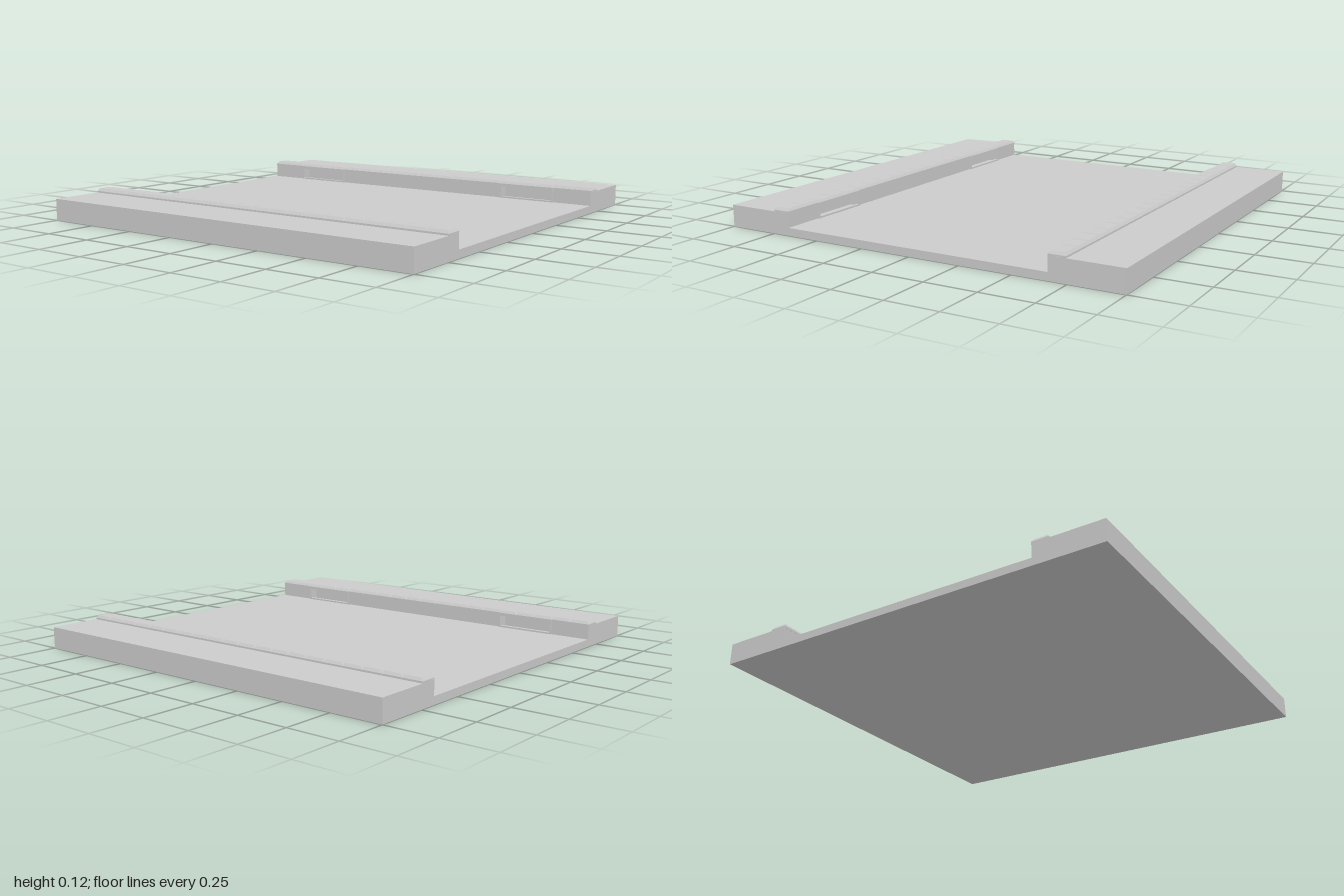
import * as THREE from 'three';

const material = new THREE.MeshStandardMaterial({ color: 0xcccccc, flatShading: true });

function add(parent, name, geometry, x = 0, y = 0, z = 0) {
  const mesh = new THREE.Mesh(geometry, material);
  mesh.name = name;
  mesh.position.set(x, y, z);
  parent.add(mesh);
  return mesh;
}

// Box given by its limits on each axis
function span(parent, name, x0, x1, y0, y1, z0, z1) {
  return add(parent, name, new THREE.BoxGeometry(x1 - x0, y1 - y0, z1 - z0),
    (x0 + x1) / 2, (y0 + y1) / 2, (z0 + z1) / 2);
}

// Kerb stone: box whose top face is drawn in to make bevelled edges
function stoneGeometry(width, height, depth, bevel) {
  const geometry = new THREE.BoxGeometry(width, height, depth, 1, 2, 1);
  const p = geometry.attributes.position;
  for (let i = 0; i < p.count; i++) {
    if (p.getY(i) > height * 0.4) {
      p.setX(i, p.getX(i) - Math.sign(p.getX(i)) * bevel);
      p.setZ(i, p.getZ(i) - Math.sign(p.getZ(i)) * bevel);
    } else if (p.getY(i) > -height * 0.4) {
      p.setY(i, height / 2 - 0.013);
    }
  }
  geometry.computeVertexNormals();
  return geometry;
}

// Rectangular rim around a drain opening
function drainFrameGeometry(width, bottom, top, rim, depth) {
  const rect = (Type, x, y0, y1) => new Type([
    new THREE.Vector2(-x, y0), new THREE.Vector2(x, y0),
    new THREE.Vector2(x, y1), new THREE.Vector2(-x, y1)]);
  const shape = rect(THREE.Shape, width / 2, bottom, top);
  shape.holes.push(rect(THREE.Path, width / 2 - rim, bottom + rim, top - rim));
  return new THREE.ExtrudeGeometry(shape, { depth, bevelEnabled: false });
}

// Kerb for the +z side, facing the road at lower z
function createKerb() {
  const kerb = new THREE.Group();

  // Wall face, interrupted at the two drains
  for (const [x0, x1] of [[-1, -0.79], [-0.51, 0.51], [0.79, 1]]) {
    span(kerb, 'kerbWall', x0, x1, 0.03, 0.106, 0.664, 0.715);
  }

  // Row of bevelled stones; those above a drain reach further out
  for (let i = 0; i < 20; i++) {
    const x = -0.95 + i * 0.1;
    const overDrain = Math.abs(x) > 0.5 && Math.abs(x) < 0.8;
    const z0 = overDrain ? 0.656 : 0.663;
    const z1 = 0.744;
    add(kerb, 'kerbStone', stoneGeometry(0.099, 0.025, z1 - z0, 0.008),
      x, 0.1125, (z0 + z1) / 2);
  }

  // Drain rims around the openings
  for (const x of [-0.65, 0.65]) {
    add(kerb, 'drainFrame', drainFrameGeometry(0.3, 0.036, 0.106, 0.009, 0.015), x, 0, 0.656);
  }
  return kerb;
}

export function createModel() {
  const model = new THREE.Group();
  model.name = 'roadTile';

  // Road bed and raised pavements as one profile along x
  const profile = new THREE.Shape([
    [-1, 0], [1, 0], [1, 0.104], [0.71, 0.104], [0.71, 0.037],
    [-0.71, 0.037], [-0.71, 0.104], [-1, 0.104],
  ].map(([z, y]) => new THREE.Vector2(z, y)));
  const bed = new THREE.ExtrudeGeometry(profile, { depth: 2, bevelEnabled: false });
  bed.translate(0, 0, -1).rotateY(Math.PI / 2);
  add(model, 'roadAndPavement', bed);

  // Matching kerbs on both sides of the road
  ['frontKerb', 'backKerb'].forEach((name, i) => {
    const kerb = createKerb();
    kerb.name = name;
    kerb.rotation.y = i * Math.PI;
    model.add(kerb);
  });
  return model;
}
